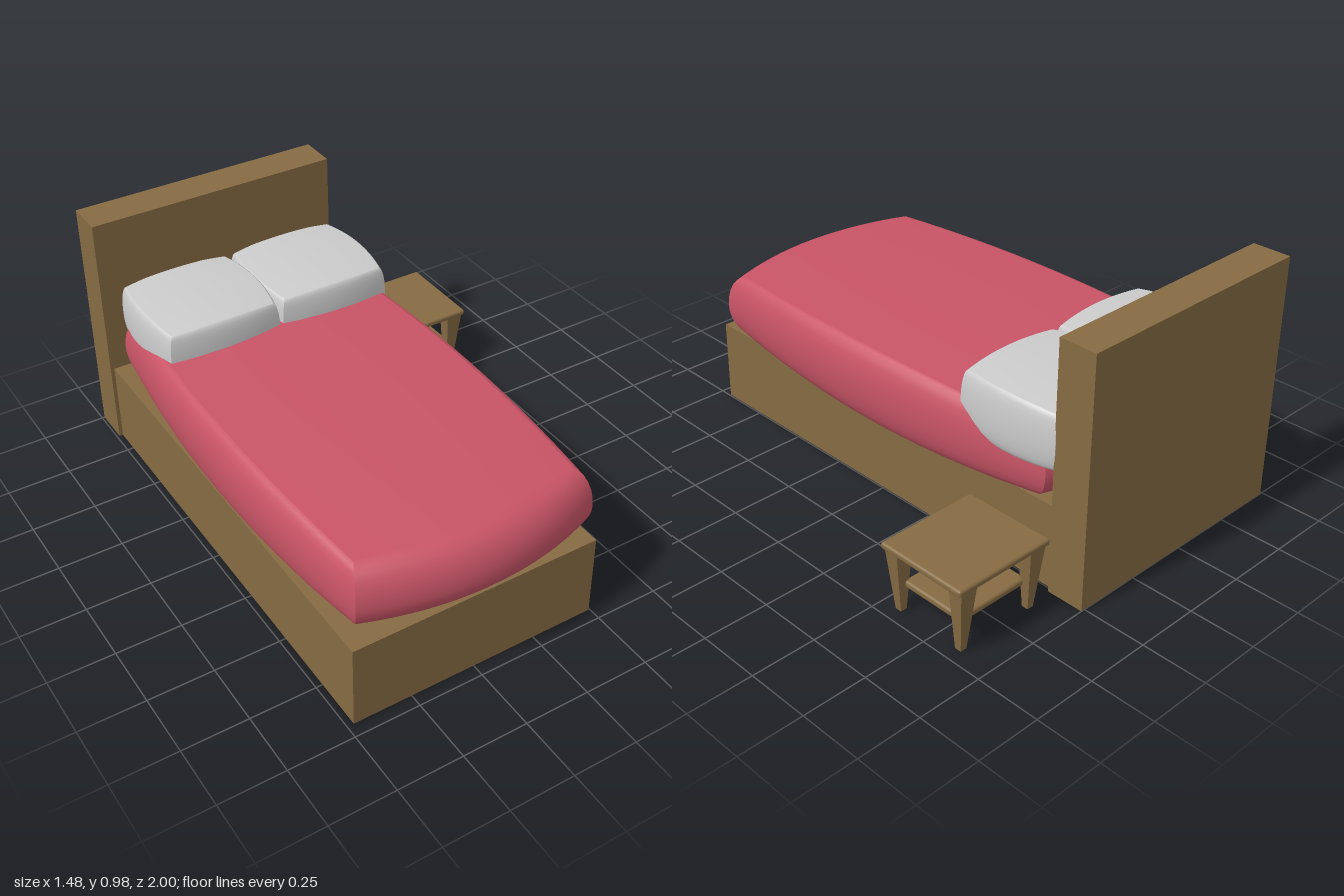
import * as THREE from 'three';
import { RoundedBoxGeometry } from 'three/addons/geometries/RoundedBoxGeometry.js';

const wood = new THREE.MeshStandardMaterial({ color: 0x866b43 });
const red = new THREE.MeshStandardMaterial({ color: 0xc85466 });
const grey = new THREE.MeshStandardMaterial({ color: 0xcccccc });

function add(parent, name, geometry, material, x = 0, y = 0, z = 0) {
  const mesh = new THREE.Mesh(geometry, material);
  mesh.name = name;
  mesh.position.set(x, y, z);
  parent.add(mesh);
  return mesh;
}

// Plain block given by its limits on each axis
function block(parent, name, [x0, x1], [y0, y1], [z0, z1], radius = 0) {
  const size = [x1 - x0, y1 - y0, z1 - z0];
  const geometry = radius ? new RoundedBoxGeometry(...size, 3, radius) : new THREE.BoxGeometry(...size);
  return add(parent, name, geometry, wood, (x0 + x1) / 2, (y0 + y1) / 2, (z0 + z1) / 2);
}

// Stuffed cushion: rounded sides bulging between sharp corners.
// x, z: [half size of top, its bulge, side roundness, its bulge]
// up, down: [half height at corner, bulge along x, bulge along z]
function cushion({ x, z, up, down }) {
  const geometry = new THREE.BoxGeometry(2, 2, 2, 16, 12, 16);
  const p = geometry.attributes.position;
  for (let i = 0; i < p.count; i++) {
    const u = p.getX(i), w = p.getZ(i);
    const angle = p.getY(i) * Math.PI / 2;
    const v = Math.sin(angle), round = Math.max(0, Math.cos(angle));
    const bu = 1 - u * u, bw = 1 - w * w;
    const h = v > 0 ? up : down;
    p.setXYZ(i,
      u * (x[0] + x[1] * bw + (x[2] + x[3] * bw) * round),
      v * (h[0] + h[1] * bu + h[2] * bw),
      w * (z[0] + z[1] * bu + (z[2] + z[3] * bu) * round));
  }
  geometry.computeVertexNormals();
  return geometry;
}

// Square leg tapering to the foot and leaning by (leanX, leanZ) at the bottom
function legGeometry(height, topX, topZ, foot, leanX, leanZ) {
  const geometry = new THREE.BoxGeometry(1, height, 1).toNonIndexed();
  const p = geometry.attributes.position;
  for (let i = 0; i < p.count; i++) {
    const low = p.getY(i) < 0;
    p.setX(i, p.getX(i) * (low ? foot : topX) + (low ? leanX : 0));
    p.setZ(i, p.getZ(i) * (low ? foot : topZ) + (low ? leanZ : 0));
  }
  geometry.computeVertexNormals();
  return geometry;
}

export function createModel() {
  const model = new THREE.Group();
  model.name = 'bedroomSet';

  // Bed
  const bed = new THREE.Group();
  bed.name = 'bed';
  model.add(bed);
  block(bed, 'bedFrame', [-0.725, 0.245], [0, 0.33], [-0.86, 0.95]);
  block(bed, 'headboard', [-0.74, 0.265], [0, 0.975], [-1, -0.85]);

  add(bed, 'mattress', cushion({
    x: [0.43, 0.04, 0.04, 0.015],
    z: [0.78, 0.06, 0.075, 0.04],
    up: [0.135, 0.01, 0.012],
    down: [0.11, 0, 0.045],
  }), red, -0.212, 0.44, 0.045);

  // Pair of pillows
  const pillow = cushion({
    x: [0.21, 0.022, 0.018, 0.005],
    z: [0.2, 0.015, 0.015, 0.01],
    up: [0.112, 0.01, 0.01],
    down: [0.1, 0.008, 0.008],
  });
  add(bed, 'leftPillow', pillow, grey, 0.04, 0.575, -0.64);
  add(bed, 'rightPillow', pillow, grey, -0.43, 0.575, -0.64);

  // Bedside table
  const table = new THREE.Group();
  table.name = 'bedsideTable';
  model.add(table);
  block(table, 'tableTop', [0.32, 0.735], [0.246, 0.272], [-0.9, -0.53], 0.01);
  block(table, 'tableShelf', [0.376, 0.68], [0.09, 0.117], [-0.85, -0.58], 0.01);
  for (const sx of [-1, 1]) {
    for (const sz of [-1, 1]) {
      const leg = legGeometry(0.25, 0.07, 0.058, 0.026, -sx * 0.002, -sz * 0.008);
      add(table, 'tableLeg', leg, wood, 0.529 + sx * 0.158, 0.125, -0.715 + sz * 0.149);
    }
  }
  return model;
}
